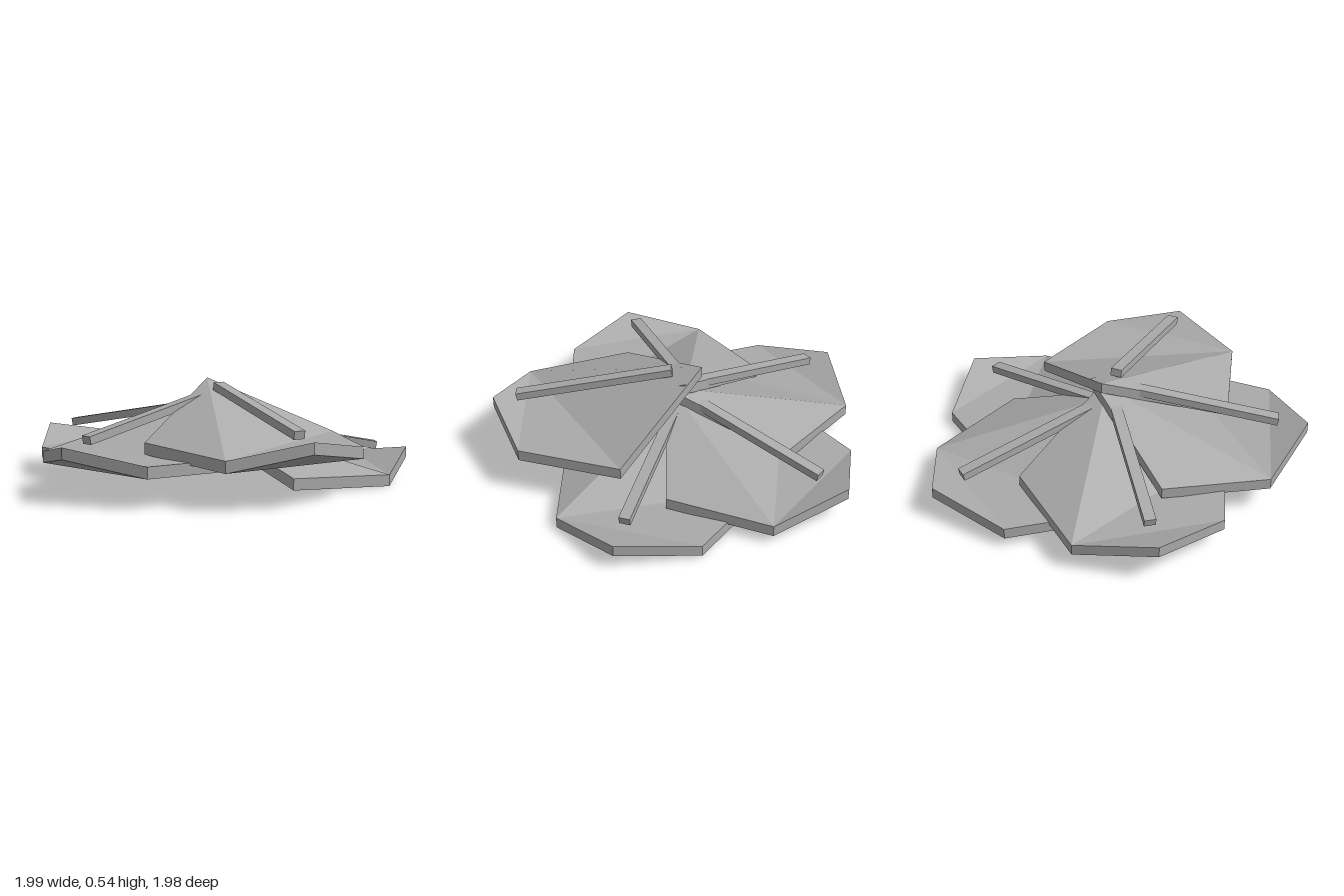
import * as THREE from 'three';

const STEP = 0.0475;      // rise from one petal to the next
const THICK = 0.06;       // petal thickness
const TIPS = [1.07, 1.06, 1.055, 1.05, 1.02];

// Folded six-cornered petal lying along +x, thickened straight down
function petalGeometry(tip) {
  const top = [
    [-0.11, 0.35, -0.01],  // base
    [0.31, 0.075, -0.55],  // side
    [0.85, 0.075, -0.39],  // shoulder
    [tip, 0.148, 0],       // raised tip
    [0.86, 0.065, 0.39],   // shoulder
    [0.31, 0.09, 0.555],   // side
  ];
  const n = top.length;
  const points = [...top, ...top.map(([x, y, z]) => [x, y - THICK, z])];
  const faces = [[0, 4, 1], [0, 5, 4], [1, 4, 2], [2, 4, 3]];
  const index = [];
  for (const [a, b, c] of faces) index.push(a, b, c, a + n, c + n, b + n);
  for (let i = 0; i < n; i++) {
    const j = (i + 1) % n;
    index.push(i, j, j + n, i, j + n, i + n);
  }
  const indexed = new THREE.BufferGeometry();
  indexed.setAttribute('position', new THREE.Float32BufferAttribute(points.flat(), 3));
  indexed.setIndex(index);
  const geometry = indexed.toNonIndexed();
  geometry.computeVertexNormals();
  return geometry;
}

export function createModel() {
  const group = new THREE.Group();
  group.name = 'flower';
  const grey = new THREE.MeshStandardMaterial({ color: 0xaaaaaa });
  grey.name = 'grey';

  const ribGeometry = new THREE.BoxGeometry(0.855, 0.042, 0.06);

  // Five petals climbing in a spiral, each with a sloping rib
  TIPS.forEach((tip, k) => {
    const leaf = new THREE.Group();
    leaf.name = 'petalWithRib' + (k + 1);

    const petal = new THREE.Mesh(petalGeometry(tip), grey);
    petal.name = 'petal';

    const rib = new THREE.Mesh(ribGeometry, grey);
    rib.name = 'rib';
    rib.position.set(0.47, 0.243, 0.005);
    rib.rotation.z = -0.183;

    leaf.add(petal, rib);
    leaf.position.set(-0.07, k * STEP, 0.02);
    leaf.rotation.y = (k * Math.PI * 2) / TIPS.length;
    group.add(leaf);
  });

  return group;
}
